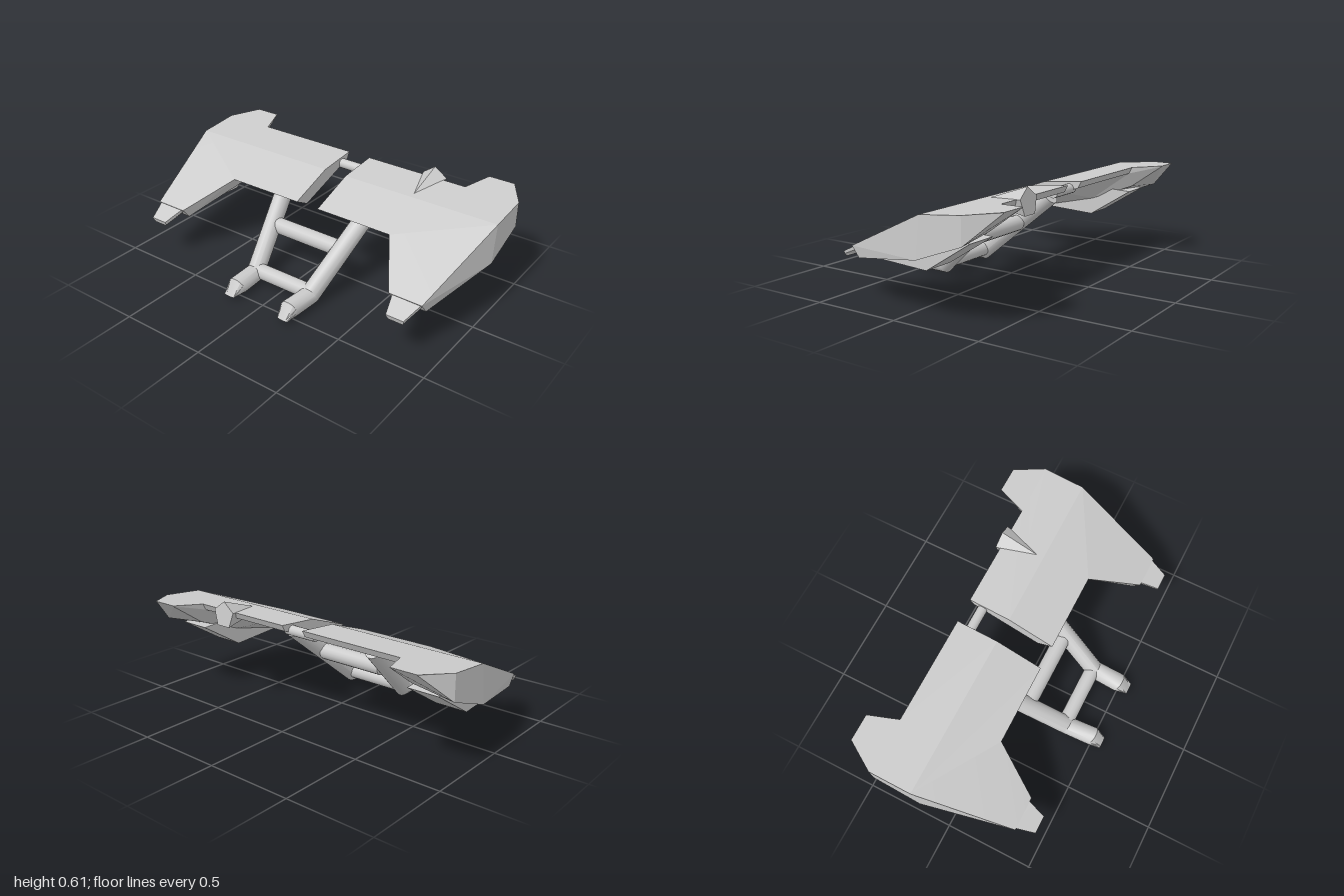
import * as THREE from 'three';
import { toCreasedNormals } from 'three/addons/utils/BufferGeometryUtils.js';

const material = new THREE.MeshStandardMaterial({ color: 0xcccccc });

function add(parent, name, geometry) {
  const mesh = new THREE.Mesh(geometry, material);
  mesh.name = name;
  parent.add(mesh);
  return mesh;
}

// Closed solid from corner points and polygon faces; side -1 mirrors it in x
function solid(points, faces, side = 1, crease = 0.1) {
  const pos = [], index = [];
  points.forEach(([x, y, z]) => pos.push(x * side, y, z));
  for (const f of faces) {
    for (let i = 1; i < f.length - 1; i++) {
      if (side > 0) index.push(f[0], f[i], f[i + 1]);
      else index.push(f[0], f[i + 1], f[i]);
    }
  }
  const g = new THREE.BufferGeometry();
  g.setAttribute('position', new THREE.Float32BufferAttribute(pos, 3));
  g.setIndex(index);
  g.computeVertexNormals();
  return toCreasedNormals(g, crease);
}

// Solid through a row of rings, each given as a list of points
function loft(rings, side, crease) {
  const n = rings[0].length, faces = [];
  for (let r = 0; r < rings.length - 1; r++) {
    for (let k = 0; k < n; k++) {
      const a = r * n + k, b = r * n + (k + 1) % n;
      faces.push([a, b, b + n, a + n]);
    }
  }
  const ring = [...Array(n).keys()];
  faces.push([...ring].reverse(), ring.map((k) => k + n * (rings.length - 1)));
  return solid(rings.flat(), faces, side, crease);
}

// Wing corners: lower case on top, upper case below
const W = {
  a: [0.07, 0.445, 0.10], b: [0.53, 0.445, 0.10], c: [0.70, 0.30, 0.365],
  d: [0.89, 0.30, 0.365], e: [1, 0.54, -0.17], f: [1, 0.563, -0.41],
  g: [0.90, 0.578, -0.57], h: [0.75, 0.578, -0.57], i: [0.69, 0.563, -0.405],
  j: [0.07, 0.563, -0.405], m: [0.07, 0.54, -0.165],
  A: [0.07, 0.395, 0.01], B: [0.54, 0.395, 0.01], C: [0.70, 0.242, 0.32],
  D: [0.89, 0.242, 0.32], E: [1, 0.322, -0.145], F: [1, 0.42, -0.41],
  G: [0.90, 0.572, -0.565], H: [0.75, 0.572, -0.565], I: [0.69, 0.525, -0.385],
  J: [0.07, 0.525, -0.385], K: [0.71, 0.345, -0.13], L: [0.74, 0.44, -0.38],
};
const wingFaces = [
  // top
  'abem', 'bcd', 'bde', 'mefij', 'fghi',
  // rim
  'aABb', 'bBCc', 'cCDd', 'dDEe', 'eEFf', 'fFGg', 'gGHh', 'hHIi', 'iIJj', 'jJAam',
  // underside
  'JIBA', 'KCB', 'IKB', 'KEDC', 'LFEK', 'LKI', 'HLI', 'HGFL',
];

function wing(side) {
  const keys = Object.keys(W);
  return solid(Object.values(W), wingFaces.map((f) => [...f].map((c) => keys.indexOf(c))), side);
}

// Tapered tip in front of the wing arm
function tip(side) {
  const ring = (w, ch, yTop, zTop, yBot, zBot) => {
    const yMid = (yTop + yBot) / 2, zMid = (zTop + zBot) / 2;
    return [[w, yMid, zMid], [w, yTop, zTop], [-w, yTop, zTop], [-w, yMid, zMid],
      [-ch, yBot, zBot], [ch, yBot, zBot]].map(([x, y, z]) => [0.8 + x, y, z]);
  };
  return loft([
    ring(0.08, 0.065, 0.302, 0.34, 0.268, 0.32),
    ring(0.08, 0.065, 0.293, 0.365, 0.26, 0.35),
    ring(0.05, 0.04, 0.25, 0.465, 0.222, 0.455),
  ], side, 0.1);
}

// Box pod under the wing arm, drawn as a side profile (z, y)
function pod(side) {
  const shape = new THREE.Shape([[0.2, 0.262], [-0.12, 0.245], [-0.38, 0.41], [-0.1, 0.42], [0.16, 0.31]]
    .map(([z, y]) => new THREE.Vector2(z, y)));
  const g = new THREE.ExtrudeGeometry(shape, { depth: 0.18, bevelEnabled: false });
  g.rotateY(-Math.PI / 2);
  g.translate(side * 0.805 + 0.09, 0, 0);
  return g;
}

// Bent tubular leg ending in a slanted foot: centre, half width, upward radius (y, z)
function leg(side) {
  const sections = [
    [0.285, 0.42, -0.08, 0.053, 0.040, 0.035],
    [0.190, 0.0575, 0.333, 0.053, 0.0525, 0.0225],
    [0.182, 0.0575, 0.492, 0.055, 0.0525, 0.0225],
    [0.185, 0.028, 0.560, 0.035, 0.005, -0.003],
  ];
  const n = 14;
  return loft(sections.map(([x, y, z, rx, vy, vz]) => Array.from({ length: n }, (_, k) => {
    const t = (k / n) * Math.PI * 2, s = Math.sin(t);
    return [x + rx * Math.cos(t), y + vy * s, z + vz * s];
  })), side, 0.6);
}

export function createModel() {
  const model = new THREE.Group();
  model.name = 'wingAssembly';

  for (const [side, label] of [[1, 'left'], [-1, 'right']]) {
    add(model, label + 'Wing', wing(side));
    add(model, label + 'WingTip', tip(side));
    add(model, label + 'Pod', pod(side));
    add(model, label + 'Leg', leg(side));
  }

  // Cross bars: name, radius, length, y, z
  const bars = [
    ['upperCrossbar', 0.047, 0.42, 0.25, 0.10],
    ['lowerCrossbar', 0.044, 0.34, 0.072, 0.322],
    ['wingConnector', 0.028, 0.20, 0.518, -0.33],
  ];
  for (const [name, r, length, y, z] of bars) {
    const bar = add(model, name, new THREE.CylinderGeometry(r, r, length, 16));
    bar.rotation.z = Math.PI / 2;
    bar.position.set(0, y, z);
  }

  // Five-sided exhaust cone through the left wing, widening to the rear
  const axisFrom = new THREE.Vector3(0.49, 0.522, -0.15);
  const axisTo = new THREE.Vector3(0.49, 0.542, -0.432);
  const ring = (c, r) => Array.from({ length: 5 }, (_, k) => {
    const t = Math.PI / 2 - (k / 5) * Math.PI * 2;
    return [c.x + r * Math.cos(t), c.y + r * Math.sin(t), c.z + r * 0.1 * Math.sin(t)];
  });
  add(model, 'exhaustCone', loft([ring(axisFrom, 0.002), ring(axisTo, 0.077)], 1, 0.1));

  return model;
}
